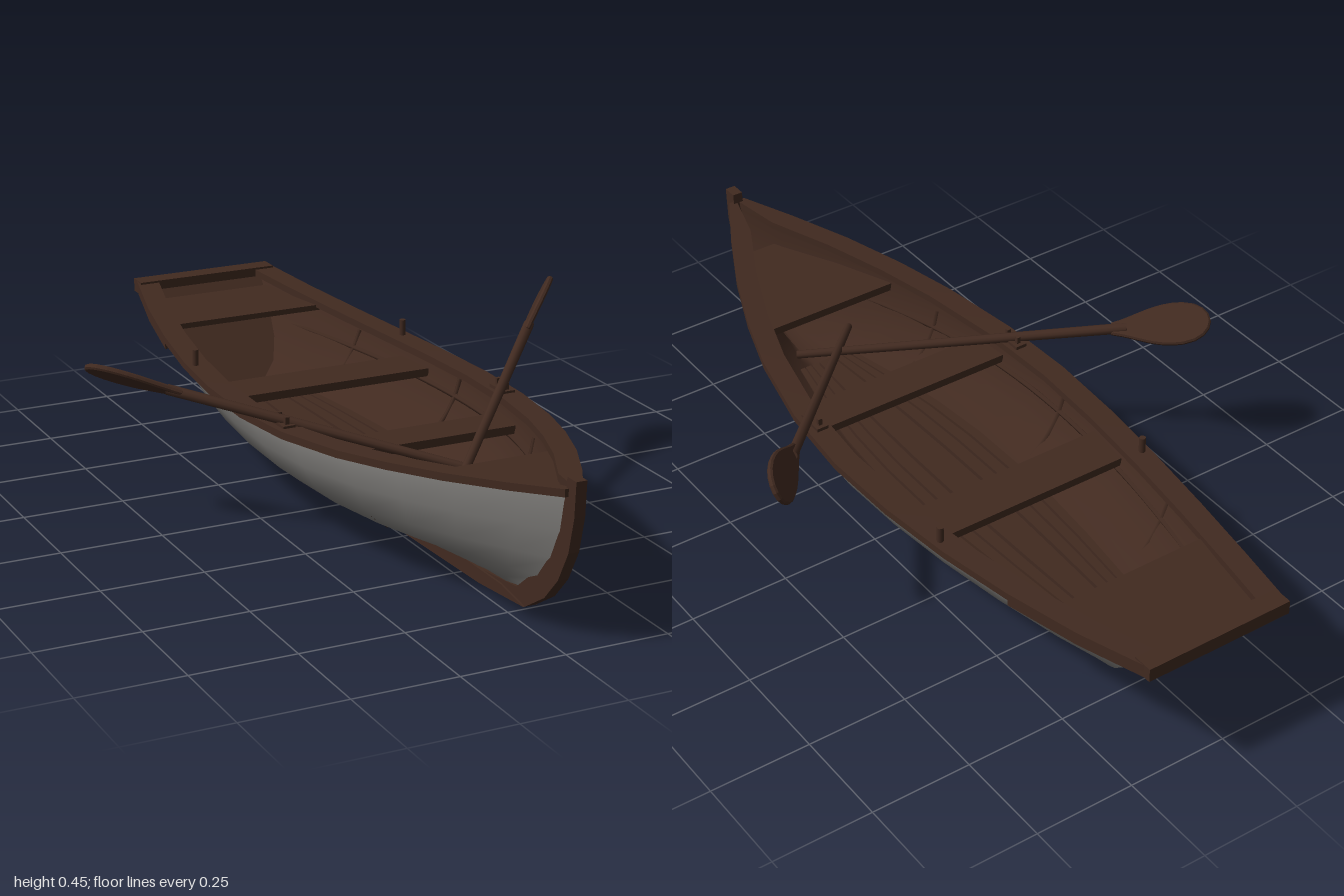
import * as THREE from 'three';
import { toCreasedNormals } from 'three/addons/utils/BufferGeometryUtils.js';

const V = (x, y, z) => new THREE.Vector3(x, y, z);

// Stations from stern to bow: z at the sheer, half-width of the rail, sheer height
const STATIONS = [
  [-0.98, 0.19, 0.305], [-0.8, 0.232, 0.285], [-0.6, 0.27, 0.272], [-0.4, 0.3, 0.265],
  [-0.2, 0.32, 0.264], [0, 0.327, 0.267], [0.2, 0.312, 0.275], [0.4, 0.272, 0.289],
  [0.55, 0.225, 0.303], [0.7, 0.165, 0.318], [0.85, 0.09, 0.334], [0.97, 0.022, 0.348],
];
// Hull section: fraction of width, fraction of height, from sheer to keel
const PROFILE = [[1, 1], [0.995, 0.9], [0.945, 0.7], [0.84, 0.46], [0.66, 0.27], [0.35, 0.13], [0, 0]];
const KEEL_Y = 0.038;

const sternZ = g => -0.69 - 0.285 * g;
const bowZ = g => 0.78 + 0.19 * (1 - Math.pow(1 - g, 2.2));

function lerpTable(rows, x, inCol, outCol) {
  for (let i = 0; i < rows.length - 1; i++) {
    const a = rows[i], b = rows[i + 1];
    const k = (x - a[inCol]) / (b[inCol] - a[inCol]);
    if (k <= 1) return a[outCol] + Math.max(0, k) * (b[outCol] - a[outCol]);
  }
  return rows[rows.length - 1][outCol];
}

// One full hull section at a sheer position, running from +x over the keel to -x
function hullSection(z, inset) {
  const w = Math.max(0.004, lerpTable(STATIONS, z, 0, 1) - 0.025 - inset);
  const top = lerpTable(STATIONS, z, 0, 2);
  const t = (z + 0.98) / 1.95;
  const half = PROFILE.map(([f, g]) => V(w * f, KEEL_Y + inset * (1 - g) + (top - KEEL_Y) * g,
    THREE.MathUtils.lerp(sternZ(g) + inset, bowZ(g) - inset, t)));
  return [...half, ...half.slice(0, -1).reverse().map(p => V(-p.x, p.y, p.z))];
}

// Inner half-width of the hull at a given length and height
function halfAt(z, y) {
  const top = lerpTable(STATIONS, z, 0, 2);
  const g = Math.min(1, (y - KEEL_Y) / (top - KEEL_Y));
  const t = (z - sternZ(g)) / (bowZ(g) - sternZ(g));
  const w = lerpTable(STATIONS, -0.98 + 1.95 * t, 0, 1) - 0.035;
  return Math.max(0.005, w * lerpTable([...PROFILE].reverse(), g, 1, 0));
}

// Skin between successive cross-sections
function loft(sections, closed = false, flip = false) {
  const n = sections[0].length, idx = [];
  for (let i = 0; i < sections.length - 1; i++) {
    for (let j = 0; j < (closed ? n : n - 1); j++) {
      const k = (j + 1) % n;
      const a = i * n + j, b = a + n, c = (i + 1) * n + k, d = i * n + k;
      idx.push(...(flip ? [a, c, b, a, d, c] : [a, b, c, a, c, d]));
    }
  }
  const geo = new THREE.BufferGeometry().setFromPoints(sections.flat());
  geo.setIndex(idx);
  geo.computeVertexNormals();
  return geo;
}

function fan(points, flip) {
  const idx = [];
  for (let j = 1; j < points.length - 1; j++) idx.push(...(flip ? [0, j + 1, j] : [0, j, j + 1]));
  const geo = new THREE.BufferGeometry().setFromPoints(points);
  geo.setIndex(idx);
  geo.computeVertexNormals();
  return geo;
}

export function createModel() {
  const wood = new THREE.MeshStandardMaterial({ color: 0x412a20 });
  wood.name = 'dark brown wood';
  const paint = new THREE.MeshStandardMaterial({ color: 0x858380 });
  paint.name = 'grey hull paint';

  const model = new THREE.Group();
  model.name = 'rowingBoat';
  const boat = new THREE.Group();
  boat.name = 'boat';
  boat.position.x = 0.027;
  model.add(boat);

  const add = (name, geo, mat = wood, parent = boat) => {
    const mesh = new THREE.Mesh(geo, mat);
    mesh.name = name;
    parent.add(mesh);
    return mesh;
  };
  const box = (name, w, h, d, x, y, z) => add(name, new THREE.BoxGeometry(w, h, d)).position.set(x, y, z);

  // Painted outer shell and wooden lining
  const outer = STATIONS.map(s => hullSection(s[0], 0));
  const inner = STATIONS.map(s => hullSection(s[0], 0.012));
  add('hull', loft(outer), paint);
  add('transom', fan(outer[0], false), paint);
  add('hullLining', loft(inner, false, true));
  add('transomLining', fan(inner[0], true));

  // Gunwales, with a deeper rubbing strip near the stern
  const rail = (name, from, to, out, inn, up, down) => {
    const rows = STATIONS.filter(s => s[0] >= from && s[0] <= to);
    for (const side of [1, -1]) {
      const sections = rows.map(([z, w, y]) => {
        const a = w + out, b = Math.max(0.001, w + inn);
        const ring = [V(a, y + up, z), V(a, y + down, z), V(b, y + down, z), V(b, y + up, z)];
        return side > 0 ? ring : ring.map(p => V(-p.x, p.y, p.z)).reverse();
      });
      add((side > 0 ? 'left' : 'right') + name, toCreasedNormals(loft(sections, true), 0.6));
      add(name + 'Ends', fan(sections[0], false));
      add(name + 'Ends', fan(sections[sections.length - 1], true));
    }
  };
  rail('Gunwale', -1, 1, 0, -0.058, 0.01, -0.008);
  rail('RubbingStrip', -1, -0.59, -0.003, -0.03, -0.008, -0.026);
  box('transomRail', 0.38, 0.034, 0.05, 0, 0.3, -0.975);

  // Stem and keel cut from side profiles (z, y)
  const sideCut = (name, pts, width) => {
    const geo = new THREE.ExtrudeGeometry(new THREE.Shape(pts.map(p => new THREE.Vector2(...p))),
      { depth: width, bevelEnabled: false });
    geo.translate(0, 0, -width / 2).rotateY(-Math.PI / 2);
    add(name, geo);
  };
  sideCut('stem', [[1, 0.382], [0.995, 0.3], [0.975, 0.215], [0.935, 0.14], [0.88, 0.08], [0.8, 0.03],
    [0.6, 0.014], [0.6, 0.045], [0.76, 0.062], [0.82, 0.11], [0.875, 0.17], [0.915, 0.225], [0.945, 0.3],
    [0.96, 0.345], [0.963, 0.382]], 0.026);
  sideCut('keel', [[0.8, 0.03], [0.6, 0.012], [0.2, 0.001], [-0.1, 0], [-0.36, 0.008], [-0.36, 0.03],
    [-0.69, 0.036], [-0.69, 0.046], [0.7, 0.046]], 0.036);

  // Flat boards: edges(z) gives the x of the two long sides
  const board = (name, z0, z1, y, thick, edges) => {
    const left = [], right = [];
    for (let i = 0; i <= 8; i++) {
      const z = z0 + (z1 - z0) * i / 8, [a, b] = edges(z);
      left.push(new THREE.Vector2(b, -z));
      right.unshift(new THREE.Vector2(a, -z));
    }
    const geo = new THREE.ExtrudeGeometry(new THREE.Shape([...left, ...right]), { depth: thick, bevelEnabled: false });
    add(name, geo.rotateX(-Math.PI / 2)).position.y = y;
  };

  // Seats trimmed to the inside of the hull
  const seat = (name, z0, z1, y, thick) =>
    board(name, z0, z1, y, thick, z => [-halfAt(z, y), halfAt(z, y)]);
  seat('sternSeat', -0.92, -0.69, 0.262, 0.014);
  seat('rearThwart', -0.32, -0.2, 0.215, 0.02);
  seat('frontThwart', 0.17, 0.27, 0.215, 0.02);
  seat('bowSeat', 0.54, 0.86, 0.25, 0.02);

  // Floor boards drawn together towards both ends
  const FLOOR_Y = 0.088;
  for (const [a, b] of [[-0.04, 0.04], [0.05, 0.085], [0.092, 0.122], [0.129, 0.155]]) {
    for (const side of a < 0 ? [1] : [1, -1]) {
      board('floorBoard', -0.68, 0.56, FLOOR_Y, 0.012, z => {
        const k = Math.min(1, halfAt(z, FLOOR_Y) / 0.162);
        return side > 0 ? [a * k, b * k] : [-b * k, -a * k];
      });
    }
  }

  // Ribs and side stringers
  for (const side of [1, -1]) {
    for (const z of [-0.52, -0.06, 0.4]) {
      const pts = [0.25, 0.21, 0.17, 0.13, 0.1].map(y => V(side * (halfAt(z, y) - 0.002), y, z));
      add('rib', new THREE.TubeGeometry(new THREE.CatmullRomCurve3(pts), 14, 0.007, 5));
    }
    const pts = [];
    for (let z = -0.8; z < 0.8; z += 0.15) pts.push(V(side * (halfAt(z, 0.205) - 0.003), 0.205, z));
    add('stringer', new THREE.TubeGeometry(new THREE.CatmullRomCurve3(pts), 30, 0.007, 5));
  }

  // Rowlocks: forked pairs forward, single pins aft
  for (const side of [1, -1]) {
    box('rowlockPad', 0.03, 0.012, 0.07, side * 0.285, 0.284, 0.15);
    for (const dz of [-0.02, 0.02]) box('rowlockHorn', 0.01, 0.024, 0.009, side * 0.285, 0.295, 0.15 + dz);
    const pin = add('rowlockPin', new THREE.CylinderGeometry(0.008, 0.008, 0.045, 8));
    pin.position.set(side * 0.283, 0.292, -0.365);
  }

  // Oars: tapered shaft and an oval blade, rolled about the shaft
  const makeOar = (name, grip, tip, roll) => {
    const oar = new THREE.Group();
    oar.name = name;
    const dir = tip.clone().sub(grip), len = dir.length();
    dir.normalize();
    const side = dir.clone().cross(V(0, 1, 0)).normalize().applyAxisAngle(dir, roll);
    oar.quaternion.setFromRotationMatrix(new THREE.Matrix4().makeBasis(side, dir, side.clone().cross(dir)));
    oar.position.copy(grip);
    const shaftLen = len - 0.2;
    add('oarShaft', new THREE.CylinderGeometry(0.013, 0.01, shaftLen, 10).translate(0, shaftLen / 2, 0), wood, oar);
    const s = new THREE.Shape();
    s.moveTo(-0.012, 0);
    s.bezierCurveTo(-0.025, 0.06, -0.055, 0.1, -0.05, 0.17);
    s.bezierCurveTo(-0.042, 0.255, 0.042, 0.255, 0.05, 0.17);
    s.bezierCurveTo(0.055, 0.1, 0.025, 0.06, 0.012, 0);
    const blade = new THREE.ExtrudeGeometry(s, { depth: 0.006, bevelThickness: 0.004, bevelSize: 0.004,
      bevelSegments: 1, curveSegments: 8 });
    blade.translate(0, len - 0.235, -0.003);
    add('oarBlade', blade, wood, oar);
    model.add(oar);
  };
  makeOar('rightOar', V(0.145, 0.2, 0.5), V(-0.615, 0.378, -0.16), 0.58);
  makeOar('leftOar', V(-0.03, 0.19, 0.54), V(0.612, 0.42, -0.17), -1.1);

  return model;
}
